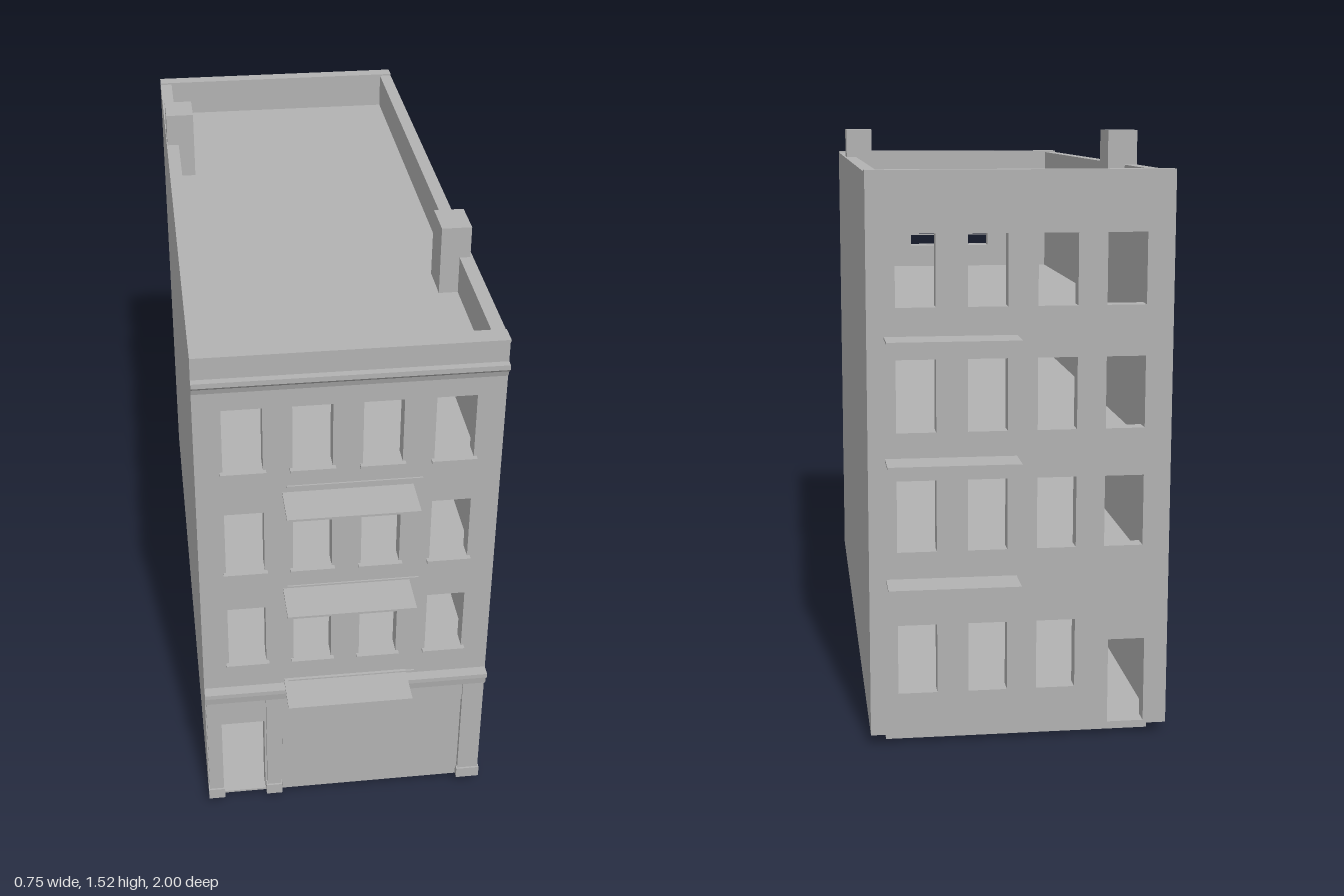
import * as THREE from 'three';

const stone = new THREE.MeshStandardMaterial({ color: 0xb2b2b2 });
stone.name = 'grey stone';

const W = 0.377, INNER_X = 0.342;
const BACK = -0.905, INNER_BACK = -0.863, INNER_FRONT = 0.84, FRONT = 0.886;
const BOTTOM = 0.03, TOP = 1.43;
const floorLevels = [0.43, 0.735, 1.035];
const windowColumns = [-0.26, -0.09, 0.082, 0.258];
const windowRows = [[0.5, 0.68], [0.8, 0.98], [1.107, 1.284]];

export function createModel() {
  const group = new THREE.Group();
  group.name = 'townhouse';

  const add = (name, geometry) => {
    const mesh = new THREE.Mesh(geometry, stone);
    mesh.name = name;
    group.add(mesh);
    return mesh;
  };

  // Box given by its limits on each axis
  const box = (name, x0, x1, y0, y1, z0, z1) => {
    const g = new THREE.BoxGeometry(x1 - x0, y1 - y0, z1 - z0);
    g.translate((x0 + x1) / 2, (y0 + y1) / 2, (z0 + z1) / 2);
    return add(name, g);
  };

  // Wall with rectangular openings [x0, x1, y0, y1]
  const wall = (name, openings, z0, z1) => {
    const rect = (C, x0, x1, y0, y1) => new C([
      new THREE.Vector2(x0, y0), new THREE.Vector2(x1, y0),
      new THREE.Vector2(x1, y1), new THREE.Vector2(x0, y1),
    ]);
    const shape = rect(THREE.Shape, -W, W, BOTTOM, TOP);
    shape.holes = openings.map((o) => rect(THREE.Path, ...o));
    const g = new THREE.ExtrudeGeometry(shape, { depth: z1 - z0, bevelEnabled: false });
    g.translate(0, 0, z0);
    add(name, g);
  };

  // Moulding: a (z, y) profile swept across the width
  const moulding = (name, points) => {
    const shape = new THREE.Shape(points.map(([z, y]) => new THREE.Vector2(-z, y)));
    const g = new THREE.ExtrudeGeometry(shape, { depth: W * 2, bevelEnabled: false });
    g.rotateY(Math.PI / 2);
    g.translate(-W, 0, 0);
    add(name, g);
  };

  // Front and back walls with window and door openings
  const windows = windowRows.flatMap(([y0, y1]) =>
    windowColumns.map((x) => [x - 0.049, x + 0.049, y0, y1]));
  const frontDoor = [-0.335, -0.22, 0.034, 0.285];
  wall('frontWall', [...windows, frontDoor], INNER_FRONT, FRONT);

  const groundWindows = windowColumns.slice(1).map((x) => [x - 0.049, x + 0.049, 0.135, 0.312]);
  const backDoor = [-0.318, -0.225, 0.036, 0.255];
  wall('backWall', [...windows, ...groundWindows, backDoor], BACK, INNER_BACK);

  // Side walls
  box('leftWall', INNER_X, W, BOTTOM, TOP, INNER_BACK, INNER_FRONT);
  box('rightWall', -W, -INNER_X, BOTTOM, TOP, INNER_BACK, INNER_FRONT);

  // Plinth, inner floors and roof
  box('plinth', -0.337, 0.337, 0, BOTTOM, -0.865, 0.845);
  box('groundFloor', -W, W, BOTTOM - 0.002, BOTTOM + 0.004, BACK, FRONT);
  for (const y of floorLevels) {
    box('floor', -INNER_X, INNER_X, y - 0.02, y, INNER_BACK, INNER_FRONT);
  }
  box('roof', -INNER_X, INNER_X, 1.31, 1.33, INNER_BACK, INNER_FRONT);

  // Raised coping on the front and back parapets
  box('frontCoping', -W, W, TOP, 1.435, INNER_FRONT, 0.893);
  box('backCoping', -W, W, TOP, 1.435, BACK, INNER_BACK);

  // Chimneys
  box('rightChimney', -0.375, -0.296, 1.32, 1.522, -0.473, -0.365);
  box('leftChimney', 0.292, 0.37, 1.32, 1.515, 0.345, 0.455);

  // Window sills
  for (const [y] of windowRows) {
    for (const x of windowColumns) {
      box('windowSill', x - 0.056, x + 0.056, y - 0.007, y + 0.001, FRONT - 0.01, 0.9);
    }
  }

  // Cornices over the upper storeys and over the shop front
  moulding('upperCornice', [
    [0.88, 1.335], [0.889, 1.335], [0.894, 1.35], [0.905, 1.36], [0.905, 1.373], [0.88, 1.373],
  ]);
  moulding('shopCornice', [
    [0.88, 0.375], [0.902, 0.375], [0.906, 0.402], [0.916, 0.406], [0.916, 0.418], [0.88, 0.418],
  ]);

  // Shop front: pilasters with bases, sign board and glazing frame
  for (const [x0, x1] of [[-W + 0.003, -0.336], [-0.215, -0.177], [0.317, W - 0.003]]) {
    box('pilaster', x0, x1, BOTTOM, 0.376, FRONT - 0.01, 0.9);
    box('pilasterBase', x0 - 0.003, x1 + 0.003, BOTTOM, 0.062, FRONT - 0.01, 0.905);
  }
  box('signBoard', -0.177, 0.317, 0.314, 0.376, FRONT - 0.01, 0.894);
  box('shopWindow', -0.172, 0.312, 0.036, 0.314, FRONT - 0.004, 0.888);

  // Balconies front and back, with a thin rail in front
  for (const y of floorLevels) {
    box('frontBalcony', -0.165, 0.16, y - 0.004, y + 0.002, FRONT - 0.01, 1);
    box('frontRail', -0.165, 0.16, y + 0.096, y + 0.1, 0.996, 1);
    box('backBalcony', 0.01, 0.335, y - 0.004, y + 0.002, -1, BACK + 0.01);
  }

  return group;
}
